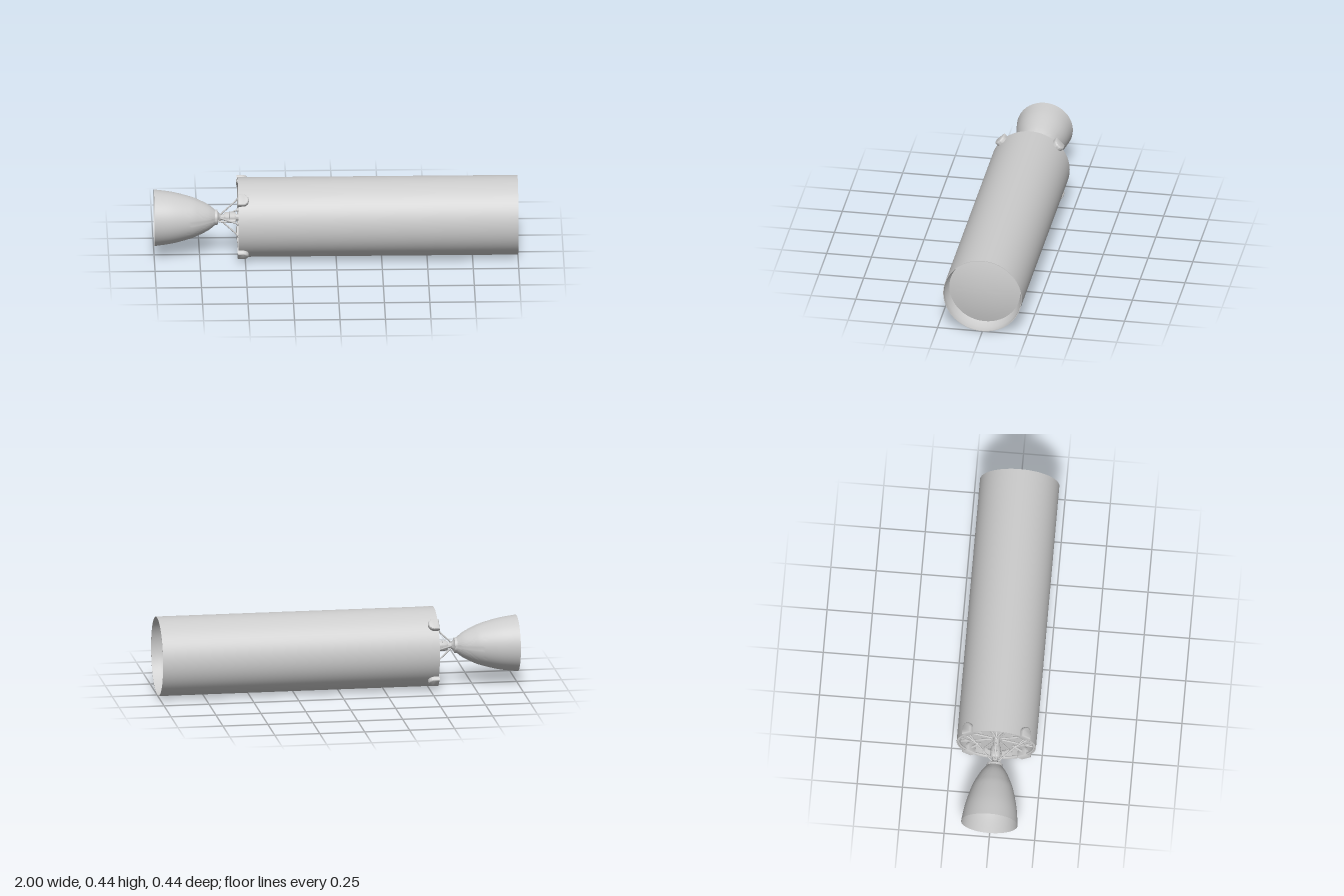
import * as THREE from 'three';
import { toCreasedNormals } from 'three/addons/utils/BufferGeometryUtils.js';

export function createModel() {
  const model = new THREE.Group();
  model.name = 'rocketStage';
  const mat = new THREE.MeshStandardMaterial({ color: 0xcccccc, side: THREE.DoubleSide });
  const V = (x, y, z) => new THREE.Vector3(x, y, z);

  // The long axis is x, at the height of the hull radius
  const axis = new THREE.Group();
  axis.name = 'stageAxis';
  axis.position.y = 0.22;
  model.add(axis);

  const add = (name, geo, parent = axis) => {
    const m = new THREE.Mesh(geo, mat);
    m.name = name;
    parent.add(m);
    return m;
  };
  // Profile points are [x, radius], turned around the long axis
  const turn = (name, pts, seg = 64) => {
    const g = new THREE.LatheGeometry(pts.map(([x, r]) => new THREE.Vector2(r, x)), seg);
    g.rotateZ(-Math.PI / 2);
    return add(name, toCreasedNormals(g, 0.5));
  };
  const rod = (name, a, b, r, parent = axis) => {
    const m = add(name, new THREE.CylinderGeometry(r, r, a.distanceTo(b), 10), parent);
    m.position.copy(a).lerp(b, 0.5);
    m.quaternion.setFromUnitVectors(V(0, 1, 0), b.clone().sub(a).normalize());
    return m;
  };
  const polar = (x, r, a) => V(x, r * Math.cos(a), r * Math.sin(a));

  // Hull with its wall, forward lip and tapered seat for the dome
  turn('hull', [[-0.49, 0.213], [-0.54, 0.213], [-0.54, 0.219], [1, 0.219],
    [1, 0.216], [0.955, 0.216], [0.92, 0.198]], 96);

  // Gently bulging forward dome
  const dome = [];
  for (let i = 0; i <= 8; i++) {
    const r = 0.198 * (1 - i / 8);
    dome.push([0.92 + 0.025 * (1 - (r / 0.198) ** 2), r]);
  }
  turn('forwardDome', dome, 96);

  // Rear bulkhead, with a rim ring and radial ribs
  turn('rearBulkhead', [[-0.49, 0.213], [-0.497, 0.1], [-0.5, 0]], 96);
  const ring = (name, x, r, t) => {
    const m = add(name, new THREE.TorusGeometry(r, t, 8, 64));
    m.rotation.y = Math.PI / 2;
    m.position.x = x;
  };
  ring('rearRim', -0.533, 0.208, 0.006);
  for (let i = 0; i < 8; i++) {
    const a = (i + 0.5) * Math.PI / 4;
    rod('radialRib', polar(-0.503, 0.03, a), polar(-0.503, 0.212, a), 0.005);
  }

  // Engine mount struts, spreading from the throat to the bulkhead
  for (let i = 0; i < 4; i++) {
    const a = i * Math.PI / 2;
    rod('mountStrut', polar(-0.64, 0.012, a), polar(-0.495, 0.148, a), 0.0045);
    const foot = add('strutFoot', new THREE.SphereGeometry(0.009, 12, 8));
    foot.position.copy(polar(-0.54, 0.106, a));
    for (const s of [-1, 1])
      rod('strutBrace', polar(-0.54, 0.106, a), polar(-0.497, 0.2, a + s * 0.25), 0.004);
  }

  // Engine body between bulkhead and throat
  turn('engineBody', [[-0.495, 0.018], [-0.55, 0.018], [-0.55, 0.025], [-0.56, 0.029],
    [-0.605, 0.029], [-0.615, 0.024], [-0.615, 0.016], [-0.655, 0.016]], 32);
  ring('engineBand', -0.585, 0.029, 0.002);
  // Small feed pump and pipe beside the engine
  const pump = add('feedPump', new THREE.CylinderGeometry(0.012, 0.012, 0.045, 16));
  pump.rotation.z = Math.PI / 2;
  pump.position.set(-0.575, -0.014, 0.022);
  add('feedPipe', new THREE.TubeGeometry(new THREE.CatmullRomCurve3([
    V(-0.595, -0.014, 0.022), V(-0.625, -0.018, 0.028), V(-0.655, -0.012, 0.024)]), 16, 0.005, 8));

  // Flange and open bell nozzle
  turn('nozzleFlange', [[-0.635, 0.016], [-0.648, 0.03], [-0.652, 0.043],
    [-0.67, 0.043], [-0.67, 0.034]], 48);
  const bell = new THREE.SplineCurve([[-0.64, 0.022], [-0.665, 0.043], [-0.7, 0.07], [-0.75, 0.096],
    [-0.8, 0.116], [-0.9, 0.142], [-1, 0.156]].map(p => new THREE.Vector2(...p)));
  turn('nozzleBell', bell.getPoints(32).map(p => [p.x, p.y]), 72);

  // Four rounded pods at the rear edge, on the diagonals
  const outline = new THREE.Shape();
  outline.moveTo(-0.537, -0.026);
  outline.lineTo(-0.515, -0.026);
  outline.absarc(-0.515, 0, 0.026, -Math.PI / 2, Math.PI / 2, false);
  outline.lineTo(-0.537, 0.026);
  outline.closePath();
  const podGeo = toCreasedNormals(new THREE.ExtrudeGeometry(outline, {
    depth: 0.03, bevelEnabled: true, bevelSize: 0.008, bevelOffset: -0.001,
    bevelThickness: 0.01, bevelSegments: 5, curveSegments: 20 }), 0.6);
  for (let i = 0; i < 4; i++) {
    const pod = new THREE.Group();
    pod.name = 'pod';
    pod.rotation.x = Math.PI / 4 + i * Math.PI / 2;
    axis.add(pod);
    add('podShell', podGeo, pod).position.z = 0.201;
    rod('podPipe', V(-0.515, 0, 0.205), V(-0.505, 0, 0.12), 0.007, pod);
  }
  return model;
}
